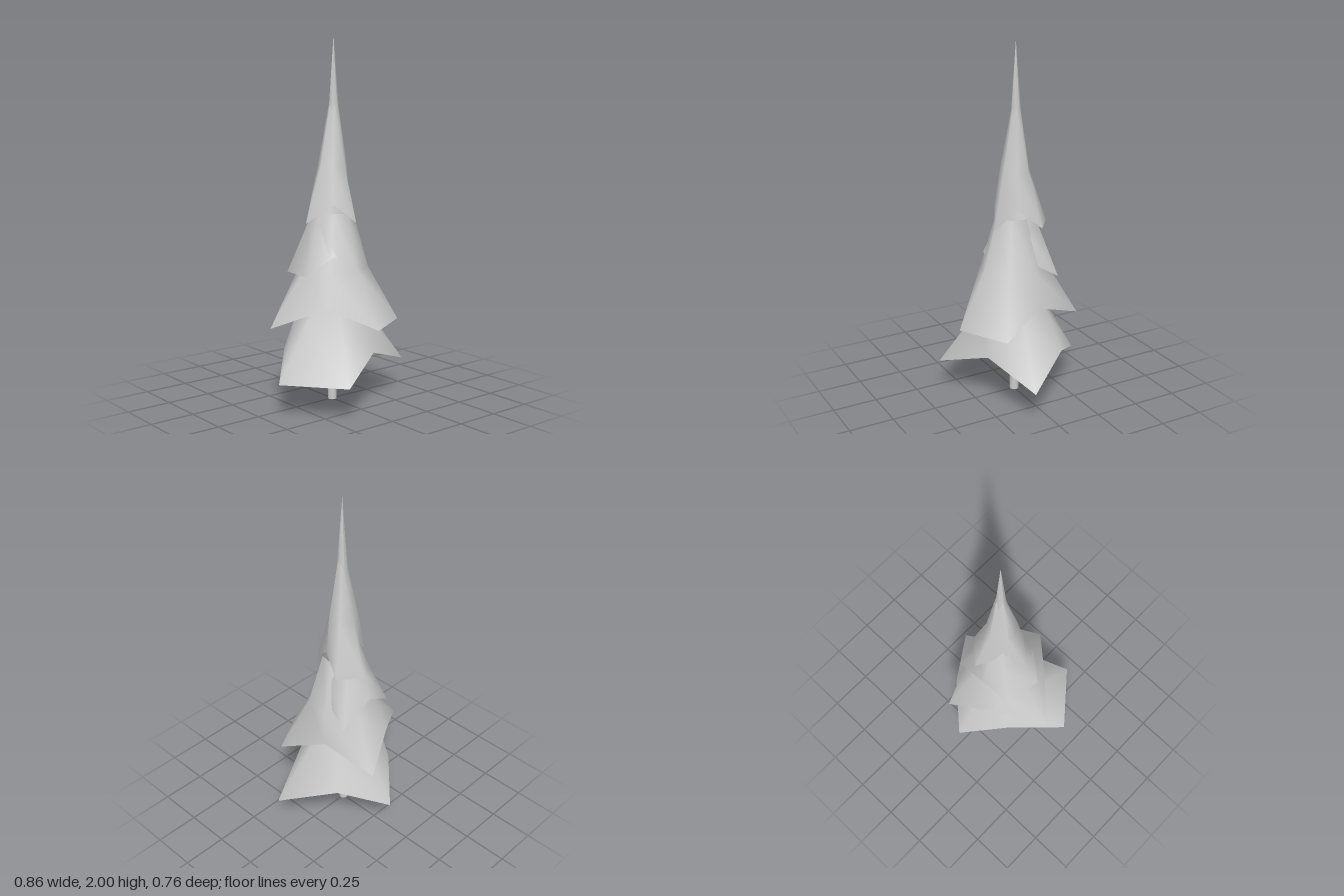
import * as THREE from 'three';

const bark = new THREE.MeshStandardMaterial({ color: 0xcccccc, side: THREE.DoubleSide });
bark.name = 'pale grey';

// Each tier has a ragged rim: two neighbouring tips, then valley and tip in turn.
// Rim corners are [x, z]; rings above it are [y, radius, centre x, centre z].
const tiers = [
  {
    name: 'bottomBranches', tipY: 0.18, valleyY: 0.29,
    rim: [[-0.43, 0.09], [-0.19, 0.38], [0.11, 0.225], [0.43, 0.105], [0.23, -0.175], [0.01, -0.38], [-0.2, -0.175]],
    rings: [[0.5, 0.2, 0.01, 0], [0.8, 0.1, 0.01, 0]],
  },
  {
    name: 'lowerBranches', tipY: 0.45, valleyY: 0.56,
    rim: [[0.03, 0.355], [0.3, 0.205], [0.2, -0.05], [0.12, -0.34], [-0.14, -0.205], [-0.39, -0.04], [-0.17, 0.17]],
    rings: [[0.75, 0.19, 0.005, 0.005], [1.05, 0.1, 0.01, 0.01]],
  },
  {
    name: 'middleBranches', tipY: 0.72, valleyY: 0.83,
    rim: [[-0.19, -0.155], [-0.22, 0.05], [-0.1, 0.14], [0.06, 0.14], [0.14, 0.01], [0.18, -0.175], [-0.02, -0.185]],
    rings: [[0.98, 0.12, 0, -0.025], [1.25, 0.05, 0.01, -0.005]],
  },
  {
    name: 'topBranches', tipY: 1.0, valleyY: 1.1,
    rim: [[0.15, -0.09], [0.03, -0.185], [-0.08, -0.05], [-0.18, 0], [-0.06, 0.09], [0.05, 0.145], [0.1, 0.03]],
    rings: [[1.3, 0.083, 0.005, -0.003], [1.64, 0.025, 0.015, -0.005]],
  },
];

// Open skirt joining the rim to the rings above it
function skirt({ rim, rings, tipY, valleyY }) {
  const n = rim.length;
  const points = [];
  const index = [];
  rim.forEach(([x, z], i) => points.push(x, i > 1 && i % 2 === 0 ? valleyY : tipY, z));
  for (const [y, r, cx, cz] of rings) {
    for (const [x, z] of rim) {
      const a = Math.atan2(z + 0.005, x - 0.012);
      points.push(cx + r * Math.cos(a), y, cz + r * Math.sin(a));
    }
  }
  for (let row = 0; row < rings.length; row++) {
    for (let i = 0; i < n; i++) {
      const a = row * n + i;
      const b = row * n + (i + 1) % n;
      index.push(a, b, a + n, b, b + n, a + n);
    }
  }
  const geometry = new THREE.BufferGeometry();
  geometry.setAttribute('position', new THREE.Float32BufferAttribute(points, 3));
  geometry.setIndex(index);
  geometry.computeVertexNormals();
  return geometry;
}

export function createModel() {
  const tree = new THREE.Group();
  tree.name = 'firTree';
  const add = (name, geometry, x, y, z) => {
    const mesh = new THREE.Mesh(geometry, bark);
    mesh.name = name;
    mesh.position.set(x, y, z);
    tree.add(mesh);
  };

  // Trunk reaching up inside the lowest tier
  add('trunk', new THREE.CylinderGeometry(0.022, 0.025, 0.55, 10), 0, 0.275, 0);

  // Four overlapping tiers
  for (const tier of tiers) add(tier.name, skirt(tier), 0, 0, 0);

  // Slender spike at the top
  add('spike', new THREE.ConeGeometry(0.032, 0.44, 7, 1, true), 0.013, 1.78, -0.004);
  return tree;
}
